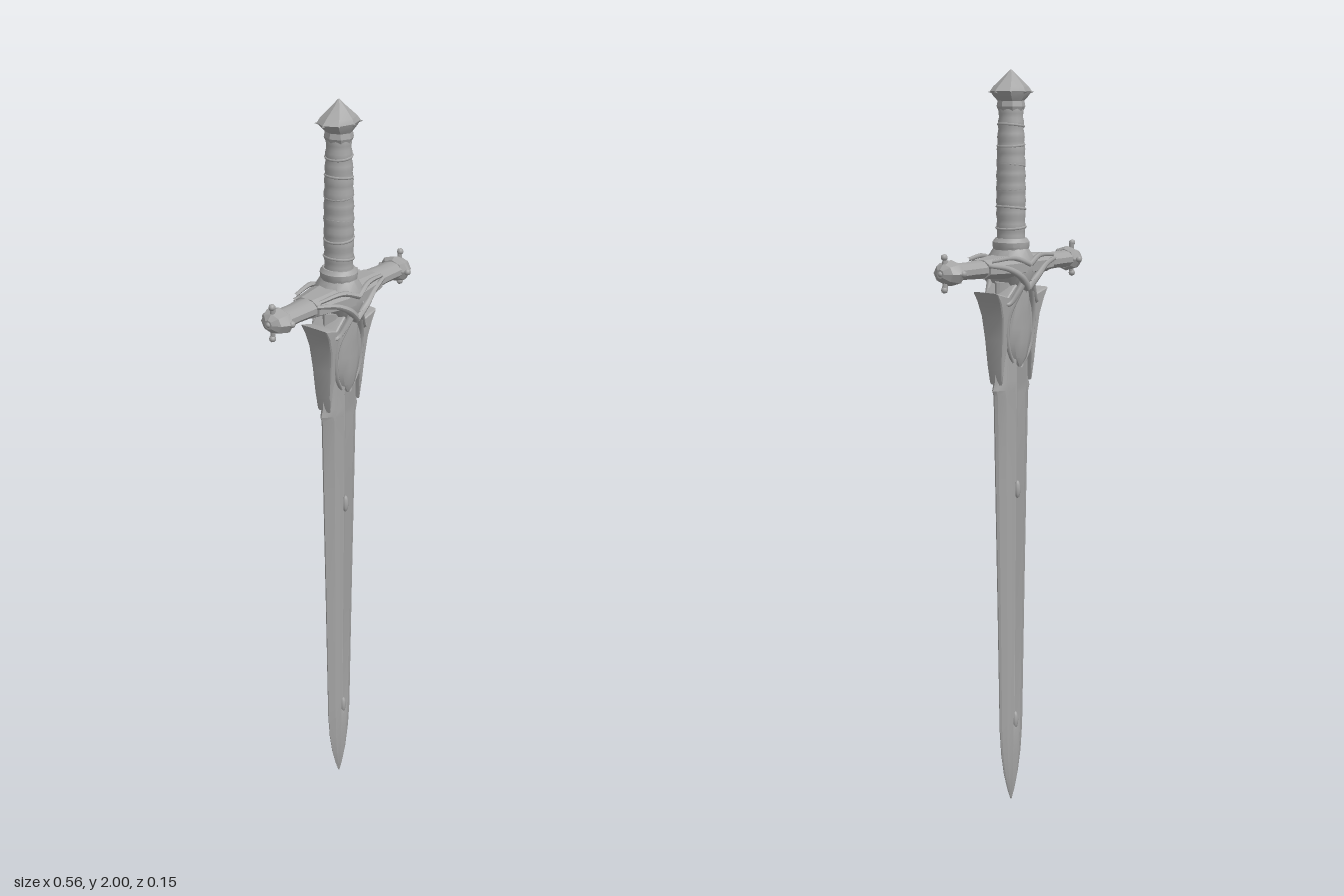
import * as THREE from 'three';
import { toCreasedNormals } from 'three/addons/utils/BufferGeometryUtils.js';

const steel = new THREE.MeshStandardMaterial({ color: 0xa6a6a6 });
steel.name = 'grey steel';

// Skin closed rings of [x, y, z] points, stacked upward, with end caps
function skin(rings, crease = 0.6) {
  const n = rings[0].length, pos = rings.flat(2), idx = [];
  for (let r = 0; r < rings.length - 1; r++) for (let i = 0; i < n; i++) {
    const a = r * n + i, b = r * n + (i + 1) % n;
    idx.push(a, a + n, b, b, a + n, b + n);
  }
  [0, rings.length - 1].forEach((r, top) => {
    const c = pos.length / 3;
    pos.push(0, rings[r][0][1], 0);
    for (let i = 0; i < n; i++) {
      const a = r * n + i, b = r * n + (i + 1) % n;
      if (top) idx.push(a, c, b); else idx.push(a, b, c);
    }
  });
  const g = new THREE.BufferGeometry();
  g.setAttribute('position', new THREE.Float32BufferAttribute(pos, 3));
  g.setIndex(idx);
  return toCreasedNormals(g, crease);
}

// Oval rings from rows of [height, half x, half z]
function oval(rows, sides, crease, twist = 0) {
  return skin(rows.map(([y, hx, hz]) => Array.from({ length: sides }, (_, i) => {
    const a = i / sides * Math.PI * 2 + twist;
    return [hx * Math.cos(a), y, hz * Math.sin(a)];
  })), crease);
}

function add(parent, name, geometry, x = 0, y = 0, z = 0) {
  const m = new THREE.Mesh(geometry, steel);
  m.name = name;
  m.position.set(x, y, z);
  parent.add(m);
  return m;
}

// Tube with a tapering oval section along a smooth path
function taperTube(points, radius, taper) {
  const curve = new THREE.CatmullRomCurve3(points.map(p => new THREE.Vector3(...p)));
  const seg = 16, sides = 6, g = new THREE.TubeGeometry(curve, seg, radius, sides);
  const p = g.attributes.position, v = new THREE.Vector3();
  for (let i = 0; i < p.count; i++) {
    const t = Math.floor(i / (sides + 1)) / seg, c = curve.getPointAt(t);
    v.fromBufferAttribute(p, i).sub(c).multiplyScalar(taper(t)).add(c);
    p.setXYZ(i, v.x, v.y, v.z);
  }
  g.computeVertexNormals();
  return g;
}

function buildBlade(root) {
  // [height, half width, half thickness, fuller depth]
  const rows = [
    [0, 0.002, 0.002, 0], [0.03, 0.014, 0.008, 0], [0.08, 0.029, 0.014, 0], [0.14, 0.04, 0.018, 0],
    [0.21, 0.046, 0.021, 0], [0.25, 0.047, 0.022, 0.5], [0.6, 0.054, 0.027, 0.5], [0.9, 0.061, 0.031, 0.5],
    [1.16, 0.067, 0.034, 0.5], [1.175, 0.073, 0.034, 0.5], [1.2, 0.065, 0.035, 0.5], [1.46, 0.058, 0.036, 0.5],
  ];
  const rings = rows.map(([y, w, t, f]) => {
    const q = [[1, 0], [0.93, 0.22], [0.66, 0.62], [0.56, 0.68], [0.3, 1], [0.1, 1 - f], [0, 1 - f * 0.8]];
    const half = [...q, ...q.slice(1, -1).reverse().map(([x, z]) => [-x, z])];
    return [...half, ...half.map(([x, z]) => [-x, -z])].slice(0)
      .concat([]).map(([x, z]) => [x * w, y, z * t]);
  });
  // Insert the left edge point between the two faces
  rings.forEach((r, i) => r.splice(11 + 1 - 1, 0, [-rows[i][1], rows[i][0], 0]));
  // The second face already begins with that edge, so drop its copy
  rings.forEach(r => r.splice(12, 1));
  add(root, 'blade', skin(rings, 0.3));

  // Small drops set along the fuller
  for (const s of [1, -1]) for (const y of [0.24, 0.9]) {
    const g = new THREE.SphereGeometry(1, 8, 6);
    g.scale(0.009, 0.025, 0.008);
    add(root, 'fullerDrop', g, 0, y, s * (0.013 + y * 0.011));
  }
}

function buildSleeve(root) {
  // Horned leaves clasping the blade shoulders
  for (const s of [1, -1]) {
    const pts = [[0, 1.48], [0.035, 1.45], [0.06, 1.427], [0.08, 1.433], [0.105, 1.438], [0.09, 1.41],
      [0.077, 1.37], [0.071, 1.31], [0.068, 1.24], [0.06, 1.19], [0.053, 1.26], [0.04, 1.32], [0.02, 1.36], [0, 1.38]];
    const shape = new THREE.Shape(pts.map(([x, y]) => new THREE.Vector2(s * x, y)));
    const g = new THREE.ExtrudeGeometry(shape, {
      depth: 0.056, bevelThickness: 0.01, bevelSize: 0.004, bevelOffset: -0.004, bevelSegments: 2,
    });
    // Thin the leaves toward their lower tips
    const p = g.attributes.position;
    for (let i = 0; i < p.count; i++) {
      const k = THREE.MathUtils.clamp((p.getY(i) - 1.19) / 0.22, 0, 1);
      p.setZ(i, (p.getZ(i) - 0.028) * (0.55 + 0.55 * k));
    }
    g.computeVertexNormals();
    add(root, 'shoulderLeaf', toCreasedNormals(g, 0.5));
  }
  for (const s of [1, -1]) {
    // Drop-shaped ornament on each face
    const drop = oval([[1.235, 0.004, 0.004], [1.26, 0.026, 0.012], [1.3, 0.04, 0.017], [1.34, 0.043, 0.019],
      [1.38, 0.036, 0.02], [1.42, 0.027, 0.024], [1.46, 0.02, 0.022]], 10, 0.7);
    add(root, 'faceDrop', drop, 0, 0, s * 0.03);
    for (const m of [1, -1]) {
      // Ribs sweeping from the guard down to the horns and leaf tips
      add(root, 'hornRib', taperTube([[m * 0.012, 1.47, s * 0.058], [m * 0.032, 1.435, s * 0.05],
        [m * 0.058, 1.405, s * 0.038], [m * 0.092, 1.432, s * 0.02]], 0.011, t => 1 - 0.65 * t));
      add(root, 'leafRib', taperTube([[m * 0.02, 1.45, s * 0.052], [m * 0.05, 1.37, s * 0.034],
        [m * 0.045, 1.29, s * 0.03], [m * 0.012, 1.23, s * 0.026]], 0.009, t => 1 - 0.5 * t));
    }
  }
}

function buildGuard(root) {
  const guard = new THREE.Group();
  guard.name = 'crossguard';
  guard.position.y = 1.5;
  root.add(guard);

  // Central block, pointed below and tapering up to the grip
  add(guard, 'guardCentre', oval([[-0.085, 0.012, 0.045], [-0.05, 0.035, 0.06], [-0.01, 0.06, 0.069],
    [0.02, 0.058, 0.066], [0.045, 0.042, 0.05], [0.06, 0.036, 0.04]], 12, 0.5));

  for (const s of [1, -1]) {
    const arm = new THREE.Group();
    arm.name = s > 0 ? 'leftArm' : 'rightArm';
    arm.rotation.z = -s * Math.PI / 2;
    guard.add(arm);
    // Wide inner sheath, slim outer bar and flared end
    add(arm, 'armSheath', oval([[0, 0.034, 0.072], [0.04, 0.032, 0.068], [0.09, 0.028, 0.056], [0.128, 0.026, 0.046]],
      8, 0.4, Math.PI / 8));
    add(arm, 'armBar', oval([[0.12, 0.025, 0.037], [0.18, 0.022, 0.034], [0.235, 0.024, 0.034]], 10, 0.7));
    add(arm, 'armEnd', oval([[0.222, 0.026, 0.034], [0.232, 0.033, 0.047], [0.242, 0.032, 0.046],
      [0.262, 0.025, 0.033], [0.274, 0.012, 0.012]], 8, 0.4));
    // Studs around the end
    for (const a of [0, 1, 2, 3]) {
      const up = a % 2 === 0, k = a < 2 ? 1 : -1;
      const stud = new THREE.SphereGeometry(0.009, 8, 6);
      if (up) {
        add(arm, 'endStud', stud, k * 0.041, 0.258, 0);
        const stem = new THREE.CylinderGeometry(0.006, 0.008, 0.03, 6);
        stem.rotateZ(Math.PI / 2);
        add(arm, 'studStem', stem, k * 0.027, 0.256, 0);
      } else add(arm, 'endStud', stud, 0, 0.234, k * 0.043);
    }
    add(arm, 'tipStud', new THREE.SphereGeometry(0.008, 8, 6), 0, 0.271, 0);

    // Curved strips crossing the faces of the arms
    for (const z of [1, -1]) {
      add(guard, 'faceStrip', taperTube([[0, -0.055, z * 0.058], [s * 0.035, -0.022, z * 0.064],
        [s * 0.075, 0, z * 0.055], [s * 0.135, 0.012, z * 0.038]], 0.011, t => 1 - 0.5 * t));
      add(guard, 'upperStrip', taperTube([[0, 0.008, z * 0.066], [s * 0.05, 0.026, z * 0.054],
        [s * 0.125, 0.022, z * 0.04]], 0.008, t => 1 - 0.4 * t));
    }
  }
}

function buildGrip(root) {
  // Collar and softly swelling handle
  add(root, 'gripCollar', oval([[1.535, 0.04, 0.046], [1.55, 0.046, 0.05], [1.562, 0.047, 0.05],
    [1.572, 0.04, 0.043]], 16, 0.5));
  const rows = [];
  for (let i = 0; i <= 36; i++) {
    const t = i / 36, r = 0.035 + 0.004 * Math.sin(t * Math.PI) - 0.006 * t + 0.0012 * Math.sin(i * 1.9);
    rows.push([1.56 + t * 0.36, r, r * 1.08]);
  }
  add(root, 'grip', oval(rows, 16, 1));
  // Tilted wrap bands
  [1.6, 1.65, 1.7, 1.76, 1.81, 1.86].forEach((y, i) => {
    const g = new THREE.TorusGeometry(0.036 - i * 0.0009, 0.0035, 6, 20);
    g.rotateX(Math.PI / 2);
    g.scale(1, 1, 1.08);
    add(root, 'wrapBand', g, 0, y, 0).rotation.z = i % 2 ? 0.14 : -0.1;
  });
}

function buildPommel(root) {
  add(root, 'pommel', oval([[1.895, 0.03, 0.033], [1.908, 0.036, 0.038], [1.922, 0.034, 0.035], [1.935, 0.05, 0.043],
    [1.946, 0.062, 0.047], [1.958, 0.05, 0.042], [1.982, 0.02, 0.02], [2, 0.002, 0.002]], 8, 0.35));
  // Points around the widest ring
  for (let i = 0; i < 8; i++) {
    const a = i * Math.PI / 4, g = new THREE.ConeGeometry(0.009, 0.024, 6);
    g.rotateZ(-Math.PI / 2);
    add(root, 'pommelPoint', g, 0.054 * Math.cos(a), 1.944, 0.043 * Math.sin(a)).rotation.y = -a;
  }
}

export function createModel() {
  const root = new THREE.Group();
  root.name = 'sword';
  buildBlade(root);
  buildSleeve(root);
  buildGuard(root);
  buildGrip(root);
  buildPommel(root);
  return root;
}
